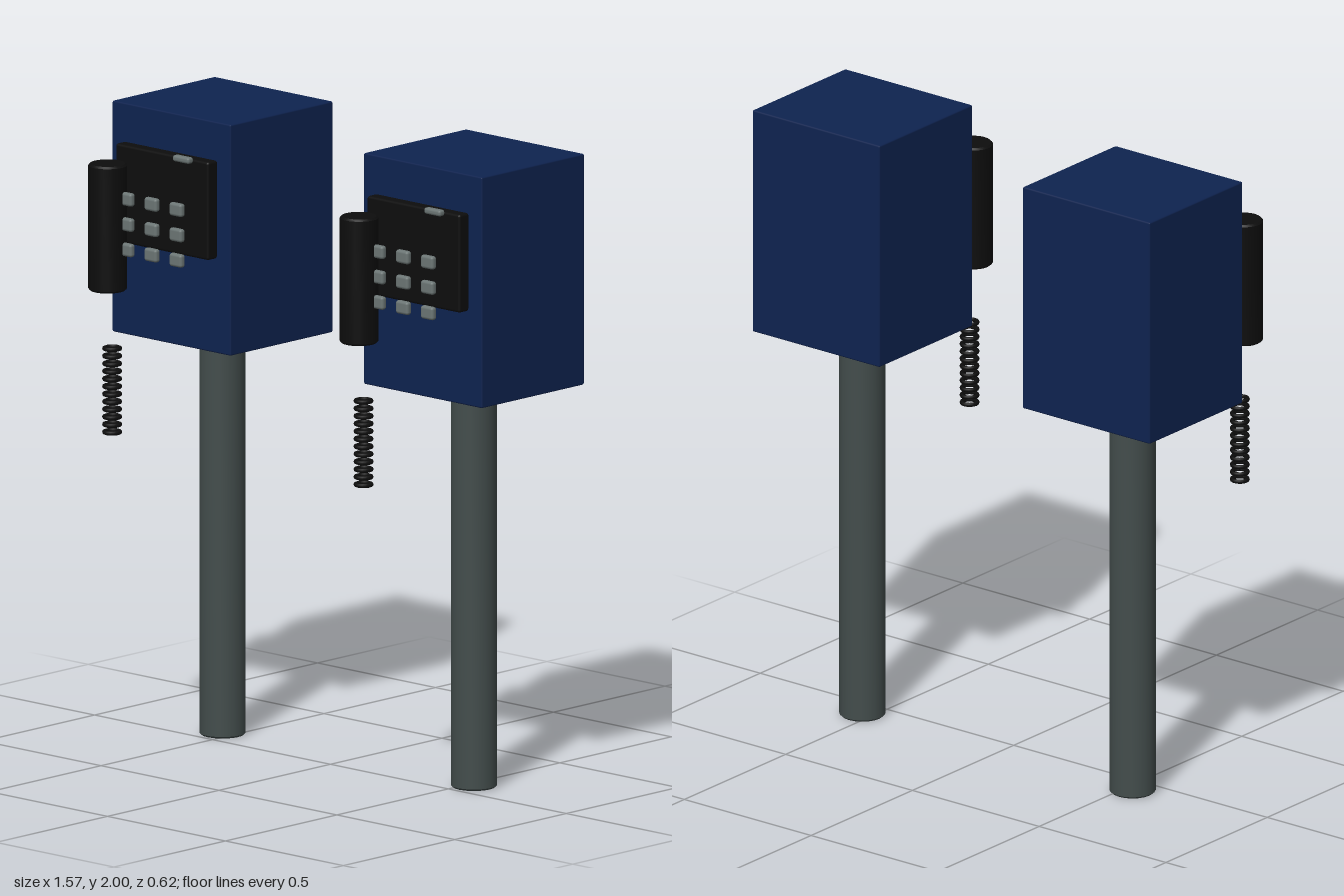
import * as THREE from 'three';
import { toCreasedNormals } from 'three/addons/utils/BufferGeometryUtils.js';
import { RoundedBoxGeometry } from 'three/addons/geometries/RoundedBoxGeometry.js';

function material(name, color) {
  const m = new THREE.MeshStandardMaterial({ color });
  m.name = name;
  return m;
}

// Upright cylinder with a small bevel round both ends, base at y = 0
function bevelledCylinder(radius, height, bevel, sides) {
  const profile = [
    [0, 0], [radius - bevel, 0], [radius, bevel],
    [radius, height - bevel], [radius - bevel, height], [0, height],
  ].map(([x, y]) => new THREE.Vector2(x, y));
  return toCreasedNormals(new THREE.LatheGeometry(profile, sides), 0.6);
}

export function createModel() {
  const navy = material('navy paint', 0x0e2350);
  const steel = material('grey steel', 0x434d4c);
  const black = material('black plastic', 0x0d0d0d);
  const silver = material('silver buttons', 0x6c7675);

  const postGeo = bevelledCylinder(0.072, 1.27, 0.006, 20);
  const cabinetGeo = new RoundedBoxGeometry(0.502, 0.73, 0.46, 1, 0.005);
  const panelGeo = new RoundedBoxGeometry(0.394, 0.31, 0.044, 2, 0.008);
  const handsetGeo = bevelledCylinder(0.06, 0.4, 0.006, 24);
  const ringGeo = new THREE.TorusGeometry(0.024, 0.007, 8, 20).rotateX(Math.PI / 2);
  const buttonGeo = new RoundedBoxGeometry(0.053, 0.042, 0.022, 2, 0.009);
  const slotGeo = new RoundedBoxGeometry(0.07, 0.02, 0.025, 2, 0.008);

  function createPhone(name) {
    const phone = new THREE.Group();
    phone.name = name;
    const add = (part, geometry, mat, x, y, z) => {
      const mesh = new THREE.Mesh(geometry, mat);
      mesh.name = part;
      mesh.position.set(x, y, z);
      phone.add(mesh);
    };

    add('post', postGeo, steel, 0, 0, -0.08);
    add('cabinet', cabinetGeo, navy, 0, 1.635, -0.08);
    add('dialPanel', panelGeo, black, 0, 1.725, 0.171);
    add('handset', handsetGeo, black, -0.175, 1.43, 0.25);
    add('coinSlot', slotGeo, silver, 0.107, 1.88, 0.211);

    // Keypad, three by three
    for (let row = 0; row < 3; row++) {
      for (let col = -1; col <= 1; col++) {
        add('button', buttonGeo, silver, col * 0.106, 1.725 - row * 0.08, 0.236);
      }
    }

    // Coiled cord as a stack of rings
    for (let i = 0; i < 12; i++) {
      add('cordRing', ringGeo, black, -0.175, 1.242 - i * 0.024, 0.23);
    }
    return phone;
  }

  const model = new THREE.Group();
  model.name = 'payPhones';
  for (const side of [-1, 1]) {
    const phone = createPhone(side < 0 ? 'rightPhone' : 'leftPhone');
    phone.position.x = side * 0.533;
    model.add(phone);
  }
  return model;
}
